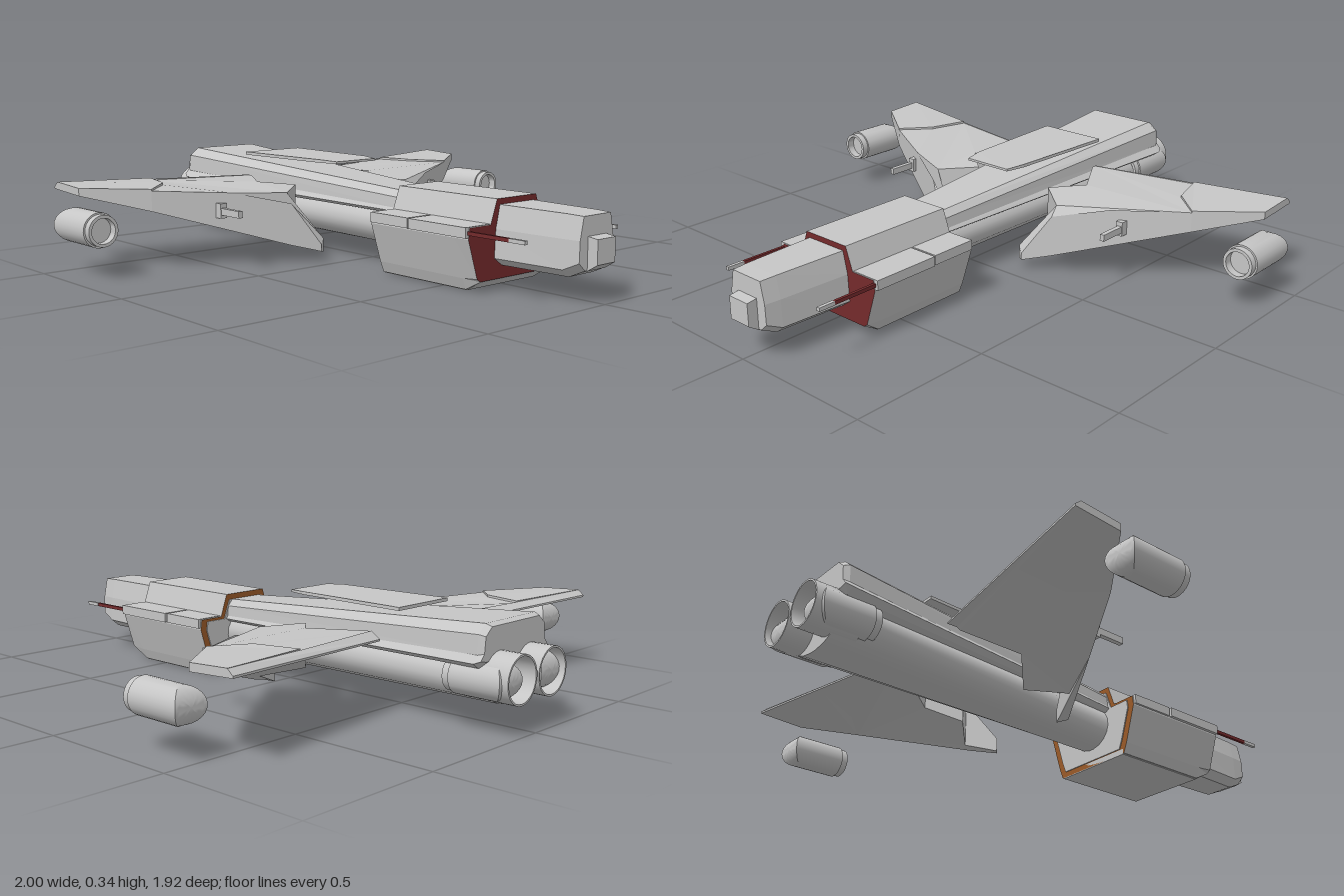
import * as THREE from 'three';
import { toCreasedNormals } from 'three/addons/utils/BufferGeometryUtils.js';

const V = (x, y, z) => new THREE.Vector3(x, y, z);

function flatGeometry(groups) {
  const geo = new THREE.BufferGeometry();
  geo.setFromPoints(groups.flat());
  let start = 0;
  groups.forEach((g, i) => { geo.addGroup(start, g.length, i); start += g.length; });
  geo.computeVertexNormals();
  return geo;
}

// Skin symmetric half-profiles [z, y] (top to bottom) along x; groups: skin, front cap, back cap
function loft(sections) {
  const rings = sections.map(([x, half]) => [
    ...half.map(([z, y]) => V(x, y, z)),
    ...half.slice().reverse().map(([z, y]) => V(x, y, -z)),
  ]);
  const skin = [], n = rings[0].length;
  for (let s = 0; s < rings.length - 1; s++) {
    for (let i = 0; i < n; i++) {
      const j = (i + 1) % n, a = rings[s], b = rings[s + 1];
      skin.push(a[i], a[j], b[j], a[i], b[j], b[i]);
    }
  }
  const cap = (ring, flip) => THREE.ShapeUtils
    .triangulateShape(ring.map(p => new THREE.Vector2(-p.z, p.y)), [])
    .flatMap(([a, b, c]) => (flip ? [ring[a], ring[c], ring[b]] : [ring[a], ring[b], ring[c]]));
  return flatGeometry([skin, cap(rings[rings.length - 1], false), cap(rings[0], true)]);
}

// Plan outline with a top and bottom height at every corner: [x, z, top, bottom]
function slab(corners, side = 1) {
  let pts = corners.map(([x, z, t, b]) => ({ x, z: z * side, t, b }));
  const plan = () => pts.map(p => new THREE.Vector2(p.x, -p.z));
  if (THREE.ShapeUtils.area(plan()) < 0) pts = pts.reverse();
  const top = pts.map(p => V(p.x, p.t, p.z)), bot = pts.map(p => V(p.x, p.b, p.z));
  const out = [];
  for (const [a, b, c] of THREE.ShapeUtils.triangulateShape(plan(), [])) {
    out.push(top[a], top[b], top[c], bot[a], bot[c], bot[b]);
  }
  pts.forEach((_, i) => {
    const j = (i + 1) % pts.length;
    out.push(bot[i], bot[j], top[j], bot[i], top[j], top[i]);
  });
  return flatGeometry([out]);
}

// Turned engine along x: a rear profile followed by the wall and stepped intake ring
function engine(rear, x0, x1, r) {
  const profile = [
    ...rear, [r, x0], [r, x1 - 0.025], [r * 0.9, x1 - 0.025],
    [r * 0.9, x1], [r * 0.72, x1], [r * 0.72, x1 - 0.03], [0, x1 - 0.03],
  ].map(p => new THREE.Vector2(...p));
  return new THREE.LatheGeometry(profile, 28).rotateZ(-Math.PI / 2);
}

// Open exhaust with a flat lip
const exhaust = (x0, x1, r) => toCreasedNormals(
  engine([[0, x0 + 0.14], [r * 0.92, x0 + 0.14], [r * 0.92, x0]], x0, x1, r), 0.6);

// Closed pod whose rear end is rounded in side view only
function pod(x0, x1, r, depth) {
  const geo = engine([0, 0.25, 0.5, 0.75, 0.9].map(k => [r * k, x0]), x0, x1, r);
  const pos = geo.attributes.position;
  for (let i = 0; i < pos.count; i++) {
    if (Math.abs(pos.getX(i) - x0) > 1e-4) continue;
    const t = Math.min(1, Math.abs(pos.getY(i)) / r);
    pos.setX(i, x0 + depth * (1 - Math.sqrt(1 - t * t)));
  }
  return toCreasedNormals(geo, 0.6);
}

export function createModel() {
  const model = new THREE.Group();
  model.name = 'starfighter';
  const paint = (name, color) => {
    const m = new THREE.MeshStandardMaterial({ color });
    m.name = name;
    return m;
  };
  const grey = paint('hull grey', 0xc6c6c6);
  const red = paint('dark red', 0x742a2c);
  const orange = paint('rust orange', 0x9a5a28);

  const add = (name, geo, mat = grey, x = 0, y = 0, z = 0) => {
    if (!Array.isArray(mat)) geo.clearGroups();
    const mesh = new THREE.Mesh(geo, mat);
    mesh.name = name;
    mesh.position.set(x, y, z);
    model.add(mesh);
  };
  const box = (name, [x0, x1], [y0, y1], [z0, z1], mat = grey) => add(name,
    new THREE.BoxGeometry(x1 - x0, y1 - y0, z1 - z0), mat, (x0 + x1) / 2, (y0 + y1) / 2, (z0 + z1) / 2);

  // Long tapering fuselage: armoured upper shell over a rounded belly
  add('upperFuselage', loft([
    [-0.92, [[0.125, 0.325], [0.155, 0.3], [0.16, 0.25], [0.178, 0.23], [0.15, 0.225]]],
    [-0.9, [[0.13, 0.333], [0.164, 0.305], [0.167, 0.245], [0.186, 0.222], [0.186, 0.21], [0.16, 0.205]].filter((_, i) => i !== 4)],
    [0.24, [[0.065, 0.262], [0.085, 0.24], [0.088, 0.205], [0.095, 0.195], [0.08, 0.185]]],
  ]));
  const belly = (a, b, cy) => Array.from({ length: 9 }, (_, i) => {
    const t = 0.25 + (i / 8) * (Math.PI - 0.35);
    return [a * Math.sin(t), cy + b * Math.cos(t)];
  });
  add('lowerFuselage', toCreasedNormals(loft([[-0.91, belly(0.145, 0.085, 0.16)], [0.24, belly(0.088, 0.077, 0.14)]]), 0.6));
  add('dorsalPlate', slab([
    [-0.58, -0.125, 0.339, 0.328], [-0.58, 0.125, 0.339, 0.328], [-0.16, 0.105, 0.339, 0.328],
    [-0.09, 0.09, 0.336, 0.328], [-0.09, -0.09, 0.336, 0.328], [-0.16, -0.105, 0.339, 0.328],
  ]));

  // Forward block with a red front face and an orange rim round the grey back plate
  const block = (low, mid) => [[0.09, 0.282], [0.118, 0.205], [0.21, 0.205], [0.215, 0.17], [0.175, mid], [0.16, low]];
  add('forwardBlock', loft([[0.23, block(0.003, 0.04)], [0.6, block(0.003, 0.04)], [0.66, block(0.035, 0.045)]]),
    [grey, red, orange]);
  const plate = block(0.003, 0.04).map(([z, y]) => [z * 0.88, 0.14 + (y - 0.14) * 0.86]);
  add('blockBackPlate', loft([[0.226, plate], [0.232, plate]]));
  add('blockChin', loft([
    [0.23, [[0.155, 0.02], [0.155, 0]]], [0.6, [[0.155, 0.02], [0.155, 0]]], [0.655, [[0.155, 0.036], [0.155, 0.034]]],
  ]));

  // Nose and blunt tip
  add('nose', loft([
    [0.65, [[0.078, 0.264], [0.095, 0.19], [0.1, 0.1], [0.065, 0.075]]],
    [0.91, [[0.067, 0.262], [0.083, 0.19], [0.086, 0.1], [0.055, 0.075]]],
    [0.965, [[0.063, 0.26], [0.078, 0.19], [0.08, 0.125], [0.052, 0.1]]],
  ]));
  add('noseTip', loft([
    [0.9, [[0.042, 0.2], [0.042, 0.076]]], [0.965, [[0.042, 0.2], [0.042, 0.098]]], [1, [[0.042, 0.195], [0.042, 0.12]]],
  ]));

  for (const s of [1, -1]) {
    const label = s > 0 ? 'left' : 'right';
    const span = (a, b) => (s > 0 ? [a, b] : [-b, -a]);

    // Shelf panels on the block and the slim guns ahead of them
    box(label + 'RearShelf', [0.235, 0.405], [0.175, 0.208], span(0.12, 0.222));
    box(label + 'FrontShelf', [0.412, 0.658], [0.175, 0.208], span(0.12, 0.226));
    box(label + 'GunSleeve', [0.655, 0.82], [0.184, 0.196], span(0.208, 0.218), red);
    box(label + 'GunBarrel', [0.82, 0.88], [0.184, 0.196], span(0.207, 0.219));

    // Wing: notched inner panel with drooping leading edge, outer panel and trailing flap
    add(label + 'WingInner', slab([
      [-0.505, 0.165, 0.26, 0.235], [-0.49, 0.165, 0.26, 0.228], [-0.32, 0.265, 0.26, 0.16],
      [-0.228, 0.165, 0.25, 0.1], [-0.13, 0.28, 0.24, 0.075], [-0.08, 0.16, 0.075, 0.028],
      [-0.055, 0.19, 0.06, 0.035], [-0.105, 0.28, 0.205, 0.06], [-0.2, 0.455, 0.248, 0.117],
      [-0.33, 0.69, 0.262, 0.193], [-0.42, 0.59, 0.266, 0.205], [-0.567, 0.55, 0.266, 0.243],
    ], s));
    add(label + 'WingOuter', slab([
      [-0.567, 0.55, 0.274, 0.243], [-0.42, 0.59, 0.274, 0.205], [-0.33, 0.69, 0.268, 0.193],
      [-0.47, 0.88, 0.274, 0.248], [-0.62, 0.88, 0.282, 0.256],
    ], s));
    add(label + 'WingFlap', slab([
      [-0.54, 0.165, 0.24, 0.234], [-0.505, 0.165, 0.262, 0.235], [-0.567, 0.55, 0.27, 0.243],
      [-0.62, 0.88, 0.281, 0.256], [-0.64, 0.88, 0.264, 0.257],
    ], s));

    // Slim gun in the leading edge
    box(label + 'WingGun', [-0.24, -0.1], [0.177, 0.2], span(0.487, 0.503));
    box(label + 'WingGunMount', [-0.25, -0.2], [0.165, 0.215], span(0.48, 0.505));

    // Wingtip pod and main engines
    add(label + 'WingtipPod', pod(-0.5, -0.275, 0.058, 0.05), grey, 0, 0.157, s * 0.9);
    add(label + 'MainEngine', exhaust(-1, -0.8, 0.077), grey, 0, 0.173, s * 0.081);
    add(label + 'EnginePod', pod(-0.98, -0.775, 0.06, 0.05), grey, 0, 0.165, s * 0.11);
  }
  return model;
}
